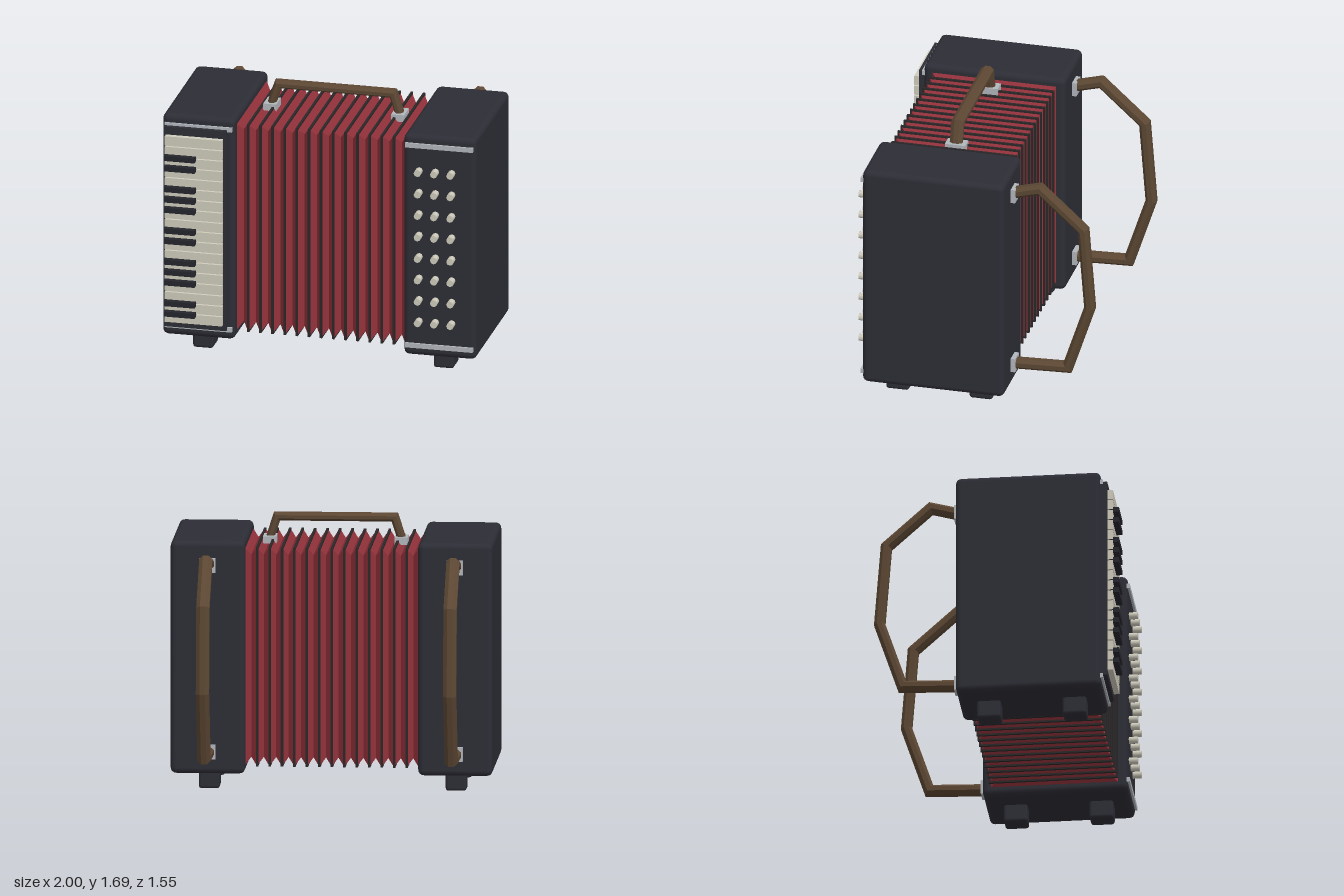
import * as THREE from 'three';
import { RoundedBoxGeometry } from 'three/addons/geometries/RoundedBoxGeometry.js';

const paint = (name, color, extra = {}) => {
  const m = new THREE.MeshStandardMaterial({ color, ...extra });
  m.name = name;
  return m;
};

export function createModel() {
  const model = new THREE.Group();
  model.name = 'accordion';
  const casing = paint('charcoal casing', 0x2d2d36);
  const red = paint('red bellows cloth', 0x94323b, { flatShading: true });
  const trim = paint('dark trim', 0x2b2728);
  const cream = paint('cream keys', 0xcfccbc);
  const black = paint('black keys', 0x25252d);
  const leather = paint('brown leather', 0x5c4733, { flatShading: true });
  const silver = paint('silver metal', 0xb2b7bd);

  const add = (parent, name, geometry, material, x = 0, y = 0, z = 0) => {
    const mesh = new THREE.Mesh(geometry, material);
    mesh.name = name;
    mesh.position.set(x, y, z);
    parent.add(mesh);
    return mesh;
  };
  const group = (name) => {
    const g = new THREE.Group();
    g.name = name;
    model.add(g);
    return g;
  };
  const box = (w, h, d) => new THREE.BoxGeometry(w, h, d);
  const soft = (w, h, d, r) => new RoundedBoxGeometry(w, h, d, 2, r);

  // Joins rings of points with quads
  const skin = (rings) => {
    const pos = [];
    for (let i = 0; i < rings.length - 1; i++) {
      const n = rings[i].length;
      for (let j = 0; j < n; j++) {
        const k = (j + 1) % n;
        const [a, b, c, d] = [rings[i][j], rings[i][k], rings[i + 1][k], rings[i + 1][j]];
        pos.push(...a, ...b, ...c, ...a, ...c, ...d);
      }
    }
    const g = new THREE.BufferGeometry();
    g.setAttribute('position', new THREE.Float32BufferAttribute(pos, 3));
    g.computeVertexNormals();
    return g;
  };

  // Eight-sided band with mitred corners along a path in the xy plane
  const band = (path, thick, wide) => {
    const pts = path.map((p) => new THREE.Vector2(...p));
    const last = pts.length - 1;
    const rings = pts.map((p, i) => {
      const d0 = pts[Math.max(i, 1)].clone().sub(pts[Math.max(i, 1) - 1]).normalize();
      const e = Math.min(i, last - 1);
      const d1 = pts[e + 1].clone().sub(pts[e]).normalize();
      const d = d0.clone().add(d1).normalize();
      const mitre = thick / d.dot(d0);
      return Array.from({ length: 8 }, (_, j) => {
        const t = (j + 0.5) * Math.PI / 4;
        const r = mitre * Math.cos(t) / Math.cos(Math.PI / 8);
        return [p.x - d.y * r, p.y + d.x * r, wide * Math.sin(t) / Math.cos(Math.PI / 8)];
      });
    });
    return skin(rings);
  };

  // Cabinets with feet, metal strips and back straps
  const strapPath = [[0.24, 1.425], [0.417, 1.473], [0.695, 1.222], [0.737, 0.692], [0.595, 0.262], [0.24, 0.25]];
  for (const s of [-1, 1]) {
    const side = group(s < 0 ? 'rightCabinet' : 'leftCabinet');
    add(side, 'casing', soft(0.462, 1.46, 0.905, 0.035), casing, s * 0.769, 0.84, 0.212);
    for (const z of [0.482, -0.052]) {
      add(side, 'foot', soft(0.13, 0.14, 0.148, 0.018), casing, s * 0.767, 0.07, z);
    }
    for (const y of [1.503, 0.18]) {
      add(side, 'metalStrip', box(0.43, 0.03, 0.03), silver, s * 0.768, y, 0.663);
    }
    const strap = add(side, 'backStrap', band(strapPath, 0.034, 0.041), leather, s * 0.768);
    strap.rotation.y = Math.PI / 2;
    for (const y of [1.421, 0.251]) {
      add(side, 'strapBracket', box(0.1, 0.09, 0.035), silver, s * 0.768, y, -0.252);
    }
  }

  // Pleated bellows with a dark edge on each ridge
  const bellows = group('bellows');
  const folds = 14, pitch = 1.084 / folds, ridgeY = 0.685, ridgeZ = 0.4;
  const rings = [];
  for (let i = 0; i <= folds * 2; i++) {
    const x = -0.542 + i * pitch / 2;
    const inset = i % 2 ? 0.05 : 0;
    const h = ridgeY - inset, d = ridgeZ - inset;
    rings.push([[x, h, d], [x, -h, d], [x, -h, -d], [x, h, -d]]);
  }
  add(bellows, 'pleats', skin(rings), red, 0, 0.84, 0.21);
  for (let i = 1; i < folds; i++) {
    add(bellows, 'ridgeEdge', box(0.015, ridgeY * 2 + 0.004, ridgeZ * 2 + 0.004), trim,
      -0.542 + i * pitch, 0.84, 0.21);
  }

  // Carrying handle
  const handle = group('topHandle');
  add(handle, 'grip', band([[-0.415, 1.51], [-0.366, 1.663], [0.366, 1.663], [0.415, 1.51]], 0.026, 0.04),
    leather, 0, 0, 0.212);
  for (const s of [-1, 1]) {
    add(handle, 'handleBracket', box(0.083, 0.045, 0.13), silver, s * 0.408, 1.522, 0.21);
  }

  // Piano keyboard
  const keyboard = group('keyboard');
  add(keyboard, 'keyBed', box(0.4, 1.32, 0.06), casing, -0.782, 0.842, 0.675);
  const keys = 18, step = 1.235 / keys, top = 1.455;
  for (let i = 0; i < keys; i++) {
    add(keyboard, 'whiteKey', box(0.365, step - 0.007, 0.04), cream, -0.783, top - (i + 0.5) * step, 0.719);
  }
  for (const i of [2, 3, 5, 6, 7, 9, 10, 12, 13, 14, 16, 17]) {
    add(keyboard, 'blackKey', box(0.198, 0.033, 0.06), black, -0.866, top - i * step, 0.746);
  }

  // Bass buttons
  const buttons = group('bassButtons');
  const buttonShape = new THREE.CylinderGeometry(0.023, 0.023, 0.08, 8).rotateX(Math.PI / 2);
  for (let row = 0; row < 8; row++) {
    for (let col = 0; col < 3; col++) {
      add(buttons, 'button', buttonShape, cream, 0.64 + col * 0.104, 0.343 + row * 0.142, 0.68);
    }
  }
  return model;
}
